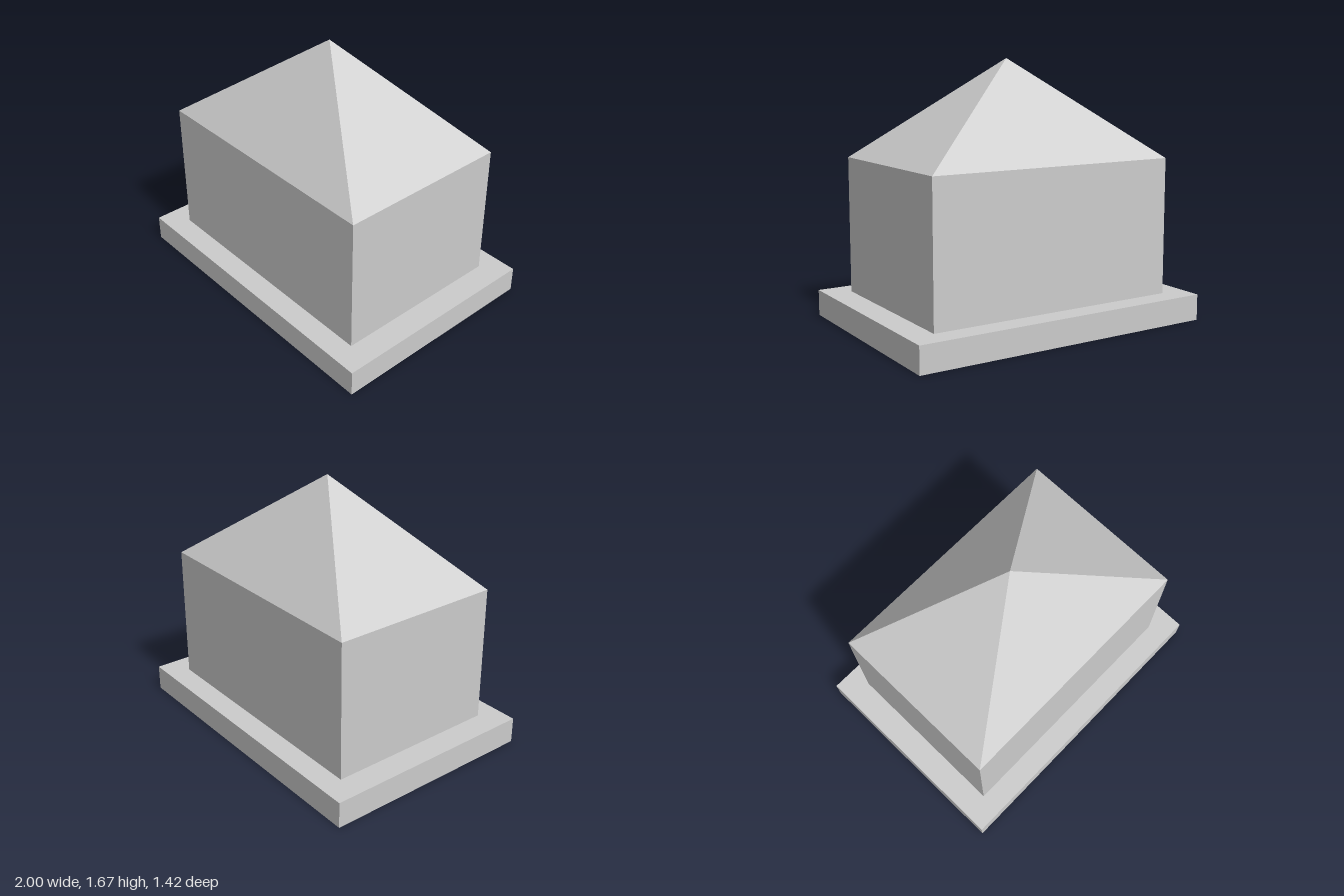
import * as THREE from 'three';

export function createModel() {
  const model = new THREE.Group();
  const material = new THREE.MeshStandardMaterial({ color: 0xcccccc, flatShading: true });

  // Adds a named part whose underside sits at the given height
  const add = (name, geometry, height, bottom) => {
    const mesh = new THREE.Mesh(geometry, material);
    mesh.name = name;
    mesh.position.y = bottom + height / 2;
    model.add(mesh);
  };

  const baseHeight = 0.167, wallHeight = 0.875, roofHeight = 0.625;
  const width = 1.667, depth = 1.125;

  // Wide plinth and rectangular walls
  add('base', new THREE.BoxGeometry(2, baseHeight, 1.417), baseHeight, 0);
  add('walls', new THREE.BoxGeometry(width, wallHeight, depth), wallHeight, baseHeight);

  // Four-sided pyramid roof, a unit square stretched to the walls
  const roof = new THREE.ConeGeometry(Math.SQRT1_2, roofHeight, 4)
    .rotateY(Math.PI / 4)
    .scale(width, 1, depth);
  add('roof', roof, roofHeight, baseHeight + wallHeight);

  return model;
}
